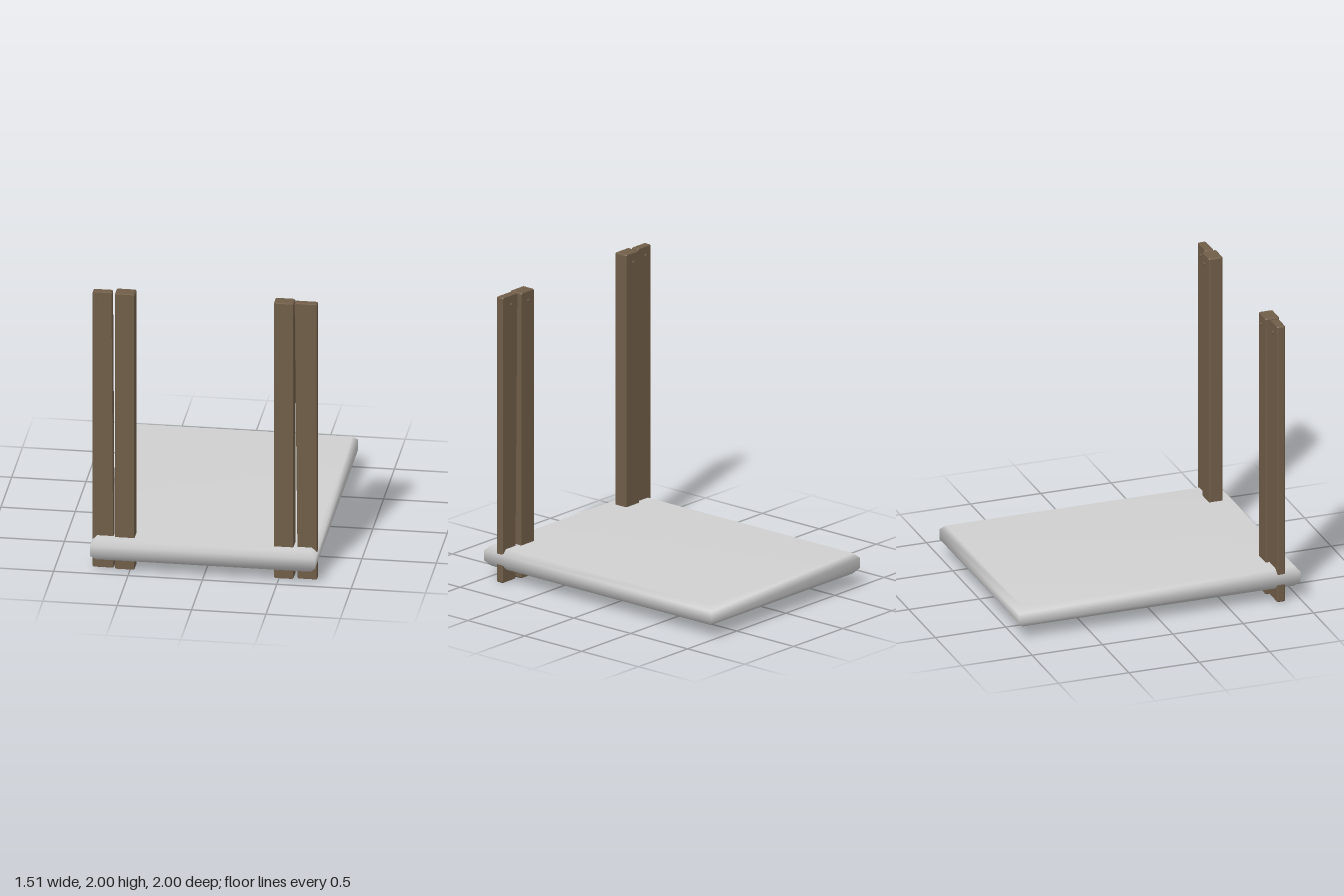
import * as THREE from 'three';

const wood = new THREE.MeshStandardMaterial({ color: 0x705d48 });
wood.name = 'brown wood';
const pale = new THREE.MeshStandardMaterial({ color: 0xd0d0d0 });
pale.name = 'pale grey';

// Slab with chamfered rims, lofted through four rectangles with shared smooth vertices
function slab() {
  const hx = 0.757, hz = 1, c = 0.035;
  const rings = [[0.09, c], [0.128, 0], [0.198, 0], [0.233, c]];
  const pos = [], idx = [];
  for (const [y, inset] of rings) {
    const x = hx - inset, z = hz - inset;
    pos.push(-x, y, z, x, y, z, x, y, -z, -x, y, -z);
  }
  for (let r = 0; r < 3; r++) {
    for (let i = 0; i < 4; i++) {
      const a = r * 4 + i, b = r * 4 + (i + 1) % 4;
      idx.push(a, b, b + 4, a, b + 4, a + 4);
    }
  }
  idx.push(12, 13, 14, 12, 14, 15, 0, 2, 1, 0, 3, 2);
  const g = new THREE.BufferGeometry();
  g.setAttribute('position', new THREE.Float32BufferAttribute(pos, 3));
  g.setIndex(idx);
  g.computeVertexNormals();
  return g;
}

// Upright board with eased edges; its sides may taper from bottom to top
function board(bottom, top, z0, z1) {
  const b = 0.008;
  const shape = new THREE.Shape([
    new THREE.Vector2(bottom[0] + b, 0), new THREE.Vector2(bottom[1] - b, 0),
    new THREE.Vector2(bottom[1], b), new THREE.Vector2(top[1], 2 - b),
    new THREE.Vector2(top[1] - b, 2), new THREE.Vector2(top[0] + b, 2),
    new THREE.Vector2(top[0], 2 - b), new THREE.Vector2(bottom[0], b),
  ]);
  const g = new THREE.ExtrudeGeometry(shape, {
    depth: z1 - z0 - 2 * b, bevelEnabled: true, bevelSegments: 1,
    bevelSize: b / 2, bevelOffset: -b / 2, bevelThickness: b,
  });
  return g.translate(0, 0, z0 + b);
}

export function createModel() {
  const model = new THREE.Group();
  model.name = 'slabWithPosts';
  const add = (name, geometry, material) => {
    const m = new THREE.Mesh(geometry, material);
    m.name = name;
    model.add(m);
    return m;
  };
  add('slab', slab(), pale);

  // Each post pairs a thick inner board with a thin outer one; pinX places its peg
  const boards = [
    ['leftInnerPost', [0.465, 0.598], [0.465, 0.598], 0.808, 0.905, 0.535],
    ['leftOuterPost', [0.624, 0.755], [0.603, 0.755], 0.835, 0.891, 0.677],
    ['rightInnerPost', [-0.603, -0.47], [-0.603, -0.47], 0.808, 0.905, -0.535],
    ['rightOuterPost', [-0.755, -0.611], [-0.755, -0.623], 0.835, 0.891, -0.692],
  ];
  for (const [name, bottom, top, z0, z1, pinX] of boards) {
    add(name, board(bottom, top, z0, z1), wood);

    // Peg through the top of the board with a small head at each end
    const zc = (z0 + z1) / 2, len = z1 - z0 + 0.034;
    const peg = add(name + 'Peg', new THREE.CylinderGeometry(0.006, 0.006, len, 10), wood);
    peg.rotation.x = Math.PI / 2;
    peg.position.set(pinX, 1.937, zc);
    for (const s of [-1, 1]) {
      const head = add(name + 'PegHead', new THREE.CylinderGeometry(0.012, 0.012, 0.008, 12), wood);
      head.rotation.x = Math.PI / 2;
      head.position.set(pinX, 1.937, zc + s * (len / 2 - 0.004));
    }
  }
  return model;
}
